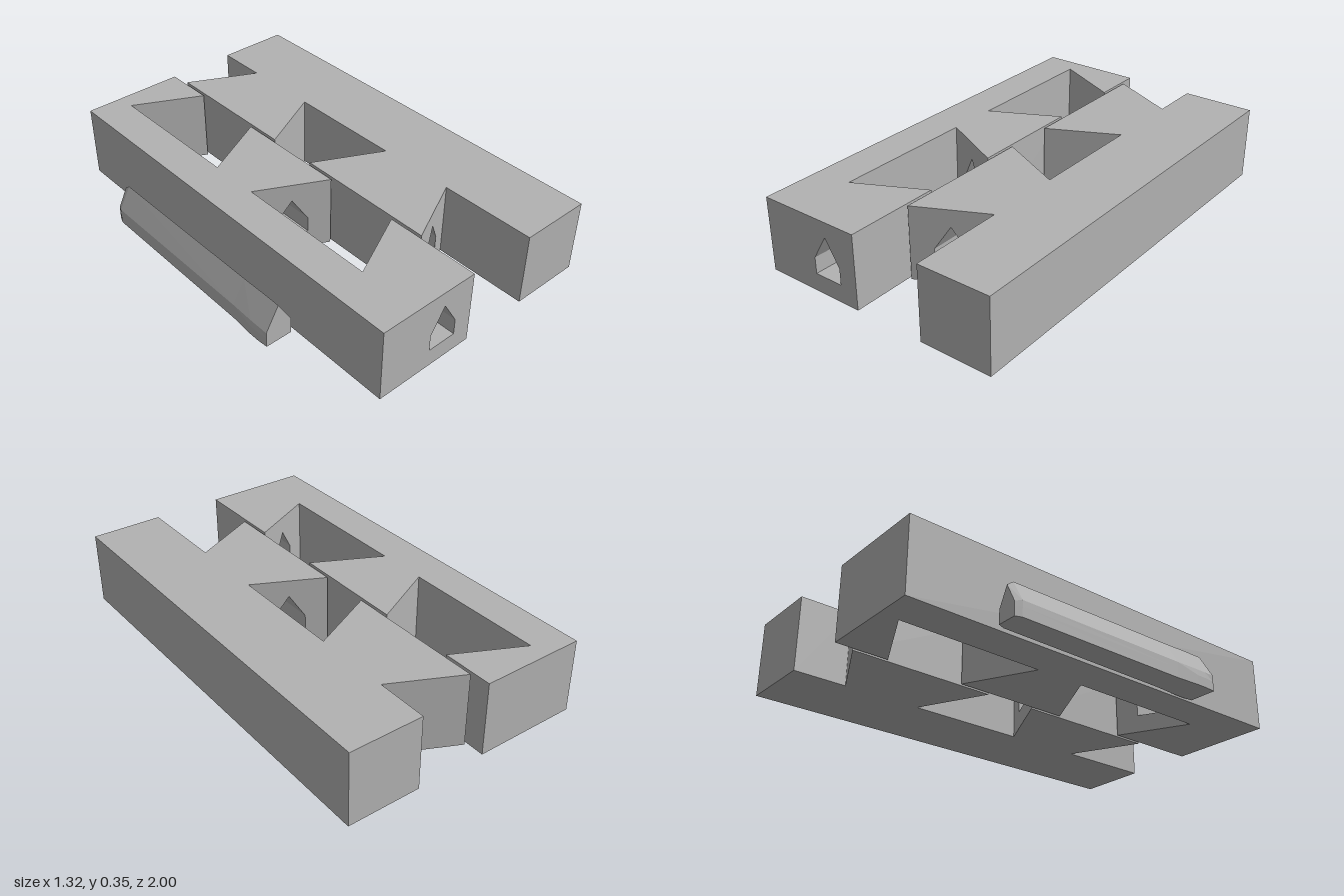
import * as THREE from 'three';
import { mergeGeometries } from 'three/addons/utils/BufferGeometryUtils.js';

const HEIGHT = 0.35;

// Pointed-roof cross-section, counter-clockwise seen from the front
const house = (cx, w, y0, shoulder, apex) => [
  [cx - w, y0], [cx + w, y0], [cx + w, shoulder], [cx, apex], [cx - w, shoulder],
];

// Flat-shaded skin between successive rings; faces point inwards when rings run front to back
function loft(rings, capStart = false, capEnd = false) {
  const pos = [];
  const tri = (...p) => p.forEach((v) => pos.push(...v));
  const n = rings[0].length;
  for (let k = 0; k < rings.length - 1; k++) {
    const a = rings[k], b = rings[k + 1];
    for (let i = 0; i < n; i++) {
      const j = (i + 1) % n;
      tri(a[i], a[j], b[j]);
      tri(a[i], b[j], b[i]);
    }
  }
  for (let i = 1; i < n - 1; i++) {
    const a = rings[0], b = rings[rings.length - 1];
    if (capStart) tri(a[0], a[i + 1], a[i]);
    if (capEnd) tri(b[0], b[i], b[i + 1]);
  }
  const g = new THREE.BufferGeometry();
  g.setAttribute('position', new THREE.Float32BufferAttribute(pos, 3));
  g.computeVertexNormals();
  return g;
}

// Upright wall over one outline edge, with an optional opening given in x and y
function wall(p, q, hole) {
  const len = Math.hypot(q[0] - p[0], q[1] - p[1]);
  const shape = new THREE.Shape([[0, 0], [len, 0], [len, HEIGHT], [0, HEIGHT]].map((c) => new THREE.Vector2(...c)));
  if (hole) {
    shape.holes.push(new THREE.Path(hole.map(([x, y]) =>
      new THREE.Vector2(((x - p[0]) / (q[0] - p[0])) * len, y))));
  }
  const ex = (q[0] - p[0]) / len, ez = (q[1] - p[1]) / len;
  const m = new THREE.Matrix4().makeBasis(
    new THREE.Vector3(ex, 0, ez), new THREE.Vector3(0, 1, 0), new THREE.Vector3(-ez, 0, ex));
  m.setPosition(p[0], 0, p[1]);
  return new THREE.ShapeGeometry(shape).applyMatrix4(m);
}

// Block from a plan outline; holes maps an edge number to its opening
function block(outline, holes) {
  const plan = (s) => new THREE.ShapeGeometry(new THREE.Shape(outline.map(([x, z]) => new THREE.Vector2(x, s * z))));
  const parts = [
    plan(-1).rotateX(-Math.PI / 2).translate(0, HEIGHT, 0),
    plan(1).rotateX(Math.PI / 2),
  ];
  outline.forEach((p, i) => parts.push(wall(p, outline[(i + 1) % outline.length], holes[i])));
  return mergeGeometries(parts);
}

// Opening section projected onto the outline edge p-q
const onEdge = (section, p, q) => section.map(([x, y]) =>
  [x, y, p[1] + ((x - p[0]) / (q[0] - p[0])) * (q[1] - p[1])]);
const atZ = (section, z) => section.map(([x, y]) => [x, y, z]);

export function createModel() {
  const group = new THREE.Group();
  const grey = new THREE.MeshStandardMaterial({ color: 0xb2b2b2 });
  grey.name = 'plain grey';
  const add = (name, geometry) => {
    const mesh = new THREE.Mesh(geometry, grey);
    mesh.name = name;
    group.add(mesh);
  };

  // Block with two dovetail sockets
  const a = [
    [-0.51, 1], [-0.017, 1], [-0.017, 0.545], [-0.335, 0.705], [-0.335, 0.015], [-0.017, 0.175],
    [-0.017, -0.385], [-0.335, -0.225], [-0.335, -0.912], [-0.017, -0.755], [-0.017, -1], [-0.51, -1],
  ];
  const mouth = house(-0.175, 0.07, 0.085, 0.162, 0.278);
  const bore = house(-0.175, 0.064, 0.085, 0.158, 0.266);
  add('socketBlock', block(a, { 0: mouth, 2: bore, 4: bore }));
  add('entryTunnel', loft([atZ(mouth, 1), onEdge(bore, a[2], a[3])]));
  add('blindTunnel', loft([onEdge(bore, a[4], a[5]), atZ(bore, -0.12)], false, true));

  // Block with two dovetail tails
  const b = [
    [0.317, 1], [0.66, 1], [0.66, -1], [0.317, -1], [0.317, -0.755], [-0.003, -0.912],
    [-0.003, -0.227], [0.317, -0.385], [0.317, 0.175], [-0.003, 0.017], [-0.003, 0.703], [0.317, 0.545],
  ];
  const tailBore = house(0.155, 0.065, 0.085, 0.16, 0.27);
  add('tailBlock', block(b, { 8: tailBore, 10: tailBore }));
  add('tailTunnel', loft([onEdge(tailBore, b[10], b[11]), onEdge(tailBore, b[8], b[9])]));

  // Locking pin: [z, foot half width, shoulder half width, shoulder y, apex y]
  const cx = -0.593;
  const stations = [
    [-0.6, 0.046, 0.046, 0.065, 0.155], [-0.57, 0.058, 0.058, 0.073, 0.178], [0.28, 0.062, 0.062, 0.075, 0.184],
    [0.4, 0.069, 0.065, 0.075, 0.187], [0.45, 0.069, 0.065, 0.075, 0.187], [0.5, 0.065, 0.065, 0.075, 0.187],
  ];
  add('lockingPin', loft(stations.map(([z, w, s, sy, apex]) => atZ([
    [cx - w, 0], [cx + w, 0], [cx + w, 0.045], [cx + s, sy], [cx, apex], [cx - s, sy], [cx - w, 0.045],
  ], z)), true, true));

  return group;
}
